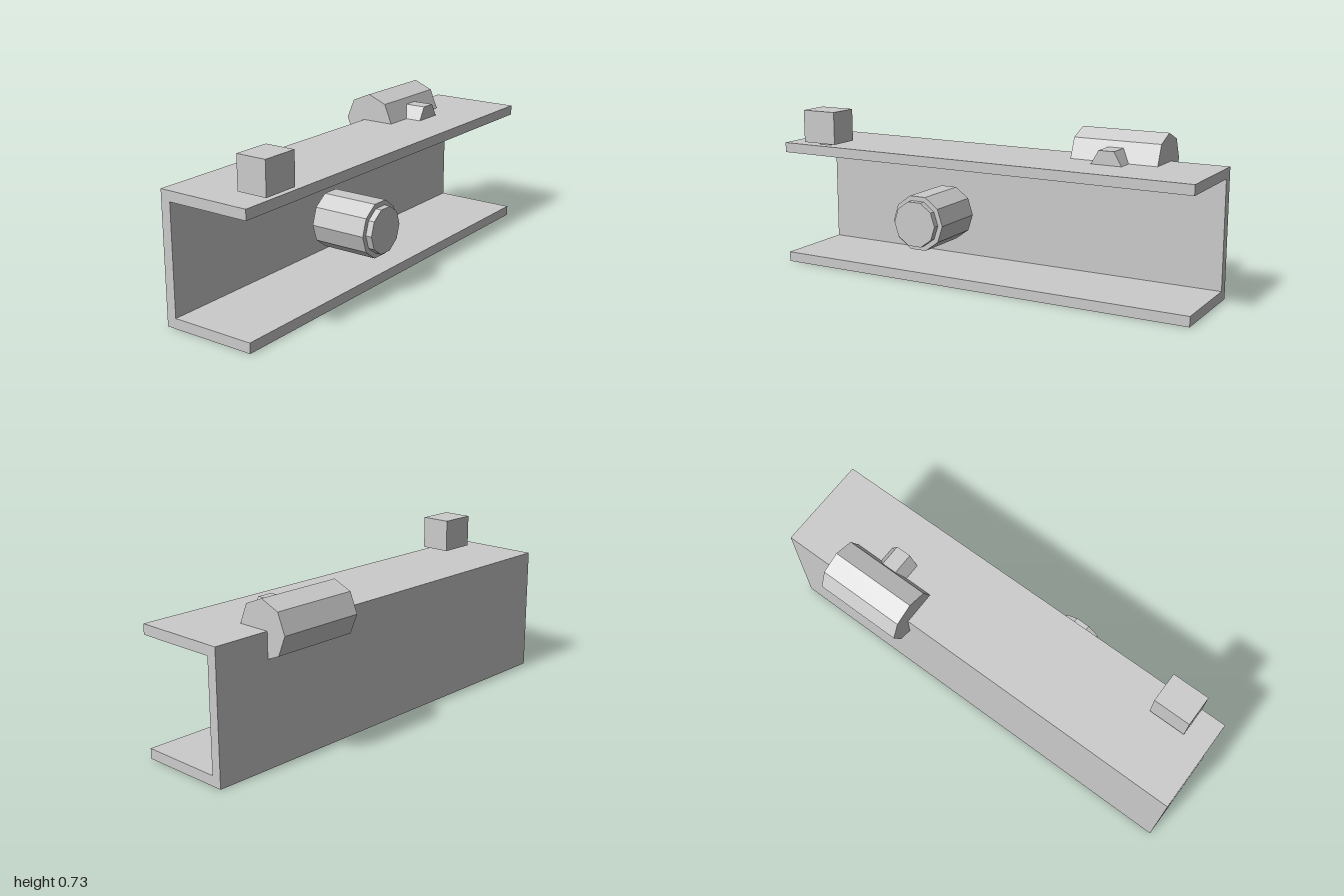
import * as THREE from 'three';

const material = new THREE.MeshStandardMaterial({ color: 0xcccccc, flatShading: true });

function add(group, name, geometry, x, y, z) {
  const mesh = new THREE.Mesh(geometry, material);
  mesh.name = name;
  mesh.position.set(x, y, z);
  group.add(mesh);
  return mesh;
}

// Faceted rod along z, with a corner pointing to +x
function rodZ(radius, length, sides) {
  return new THREE.CylinderGeometry(radius, radius, length, sides)
    .rotateY(-Math.PI / 2)
    .rotateX(Math.PI / 2);
}

// Rod turned so that its corners lie on the x axis
function facetedRod(radius, length, sides) {
  const geometry = rodZ(radius, length, sides);
  return geometry;
}

export function createModel() {
  const model = new THREE.Group();
  model.name = 'channelAssembly';

  // C-shaped channel, drawn in (-z, y) and extruded along x
  const back = 0.208, front = -0.22, height = 0.572, wall = 0.045;
  const profile = new THREE.Shape([
    [front, 0], [back, 0], [back, height], [front, height],
    [front, height - wall], [back - wall, height - wall],
    [back - wall, wall], [front, wall],
  ].map(([u, v]) => new THREE.Vector2(u, v)));
  const channel = new THREE.ExtrudeGeometry(profile, { depth: 2, bevelEnabled: false })
    .translate(0, 0, -1)
    .rotateY(Math.PI / 2);
  add(model, 'channel', channel, 0, 0, 0);

  // Block on a short stem, at the front edge of the top flange
  add(model, 'blockStem', new THREE.BoxGeometry(0.056, 0.02, 0.033), -0.8, 0.578, 0.163);
  add(model, 'block', new THREE.BoxGeometry(0.17, 0.148, 0.14), -0.8, 0.658, 0.15);

  // Ten-sided knob with a smaller front cap
  const knob = new THREE.Group();
  knob.name = 'knob';
  knob.position.set(-0.23, 0.287, 0);
  add(knob, 'knobBody', facetedRod(0.125, 0.258, 10), 0, 0, 0.149);
  add(knob, 'knobCap', facetedRod(0.103, 0.028, 10), 0, 0, 0.292);
  model.add(knob);

  // Eight-sided barrel along the back top edge, with a six-sided peg
  const barrel = new THREE.Group();
  barrel.name = 'barrel';
  barrel.position.set(0.54, 0.572, -0.18);
  add(barrel, 'barrelBody', rodZ(0.125, 0.4, 8).rotateY(Math.PI / 2), 0, 0, 0);
  add(barrel, 'barrelPeg', facetedRod(0.07, 0.2, 6), 0, 0, 0.1);
  model.add(barrel);

  return model;
}
